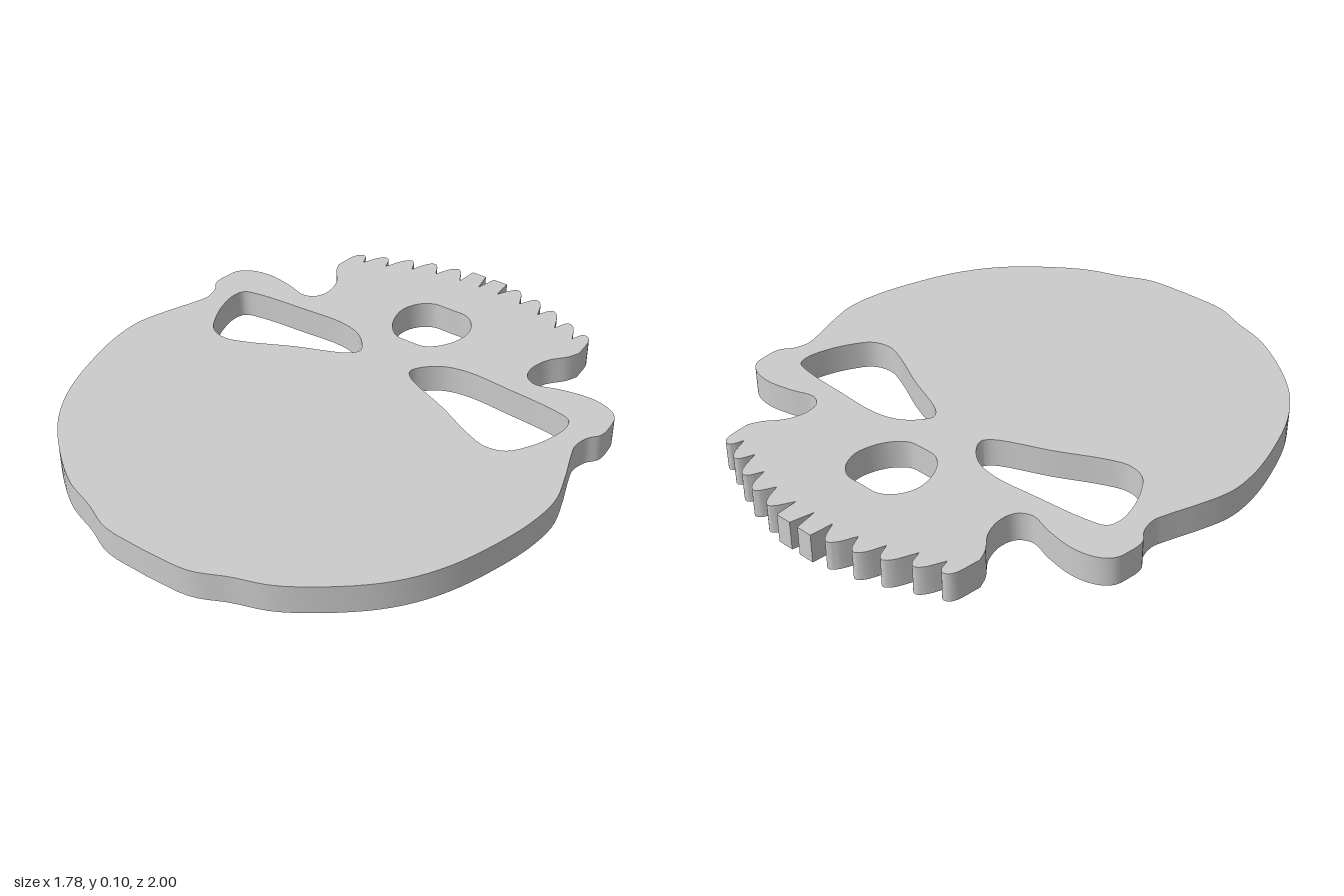
import * as THREE from 'three';
import { toCreasedNormals } from 'three/addons/utils/BufferGeometryUtils.js';

const THICKNESS = 0.105;

// Smooth run through [x, z] points, returned as 2D shape points (shape y = -z)
function smooth(points, steps = 4, closed = false) {
  const curve = new THREE.CatmullRomCurve3(
    points.map(([x, z]) => new THREE.Vector3(x, -z, 0)), closed, 'centripetal');
  const out = curve.getPoints(points.length * steps).map(p => new THREE.Vector2(p.x, p.y));
  if (closed) out.pop();
  return out;
}

const flip = points => points.map(p => new THREE.Vector2(-p.x, p.y)).reverse();

// Half of a symmetric outline, starting and ending on x = 0, completed by mirroring
const mirrored = half => [...half, ...flip(half).slice(1, -1)];

// Right half of the outline: rounded body, side lobe, neck and toothed crest
function halfOutline() {
  const body = smooth([
    [0, 1], [0.17, 0.99], [0.286, 0.94], [0.42, 0.89], [0.6, 0.76], [0.71, 0.645],
    [0.79, 0.51], [0.85, 0.34], [0.885, 0.185], [0.89, 0.05], [0.857, -0.07],
    [0.815, -0.185], [0.8, -0.24], [0.812, -0.3], [0.842, -0.345], [0.842, -0.41],
    [0.83, -0.46], [0.79, -0.495], [0.71, -0.513], [0.6, -0.497], [0.51, -0.472],
    [0.465, -0.497], [0.45, -0.555], [0.47, -0.63], [0.52, -0.695], [0.54, -0.74],
  ]);
  const tips = [[0.503, -0.857], [0.418, -0.894], [0.324, -0.935], [0.235, -0.967], [0.138, -0.988]];
  const valleys = [[0.54, -0.74], [0.472, -0.808], [0.382, -0.836], [0.285, -0.878], [0.19, -0.905], [0.085, -0.915]];
  const outline = body;
  tips.forEach(([x, z], i) => {
    const tooth = [valleys[i], [x + 0.022, z + 0.018], [x, z], [x - 0.016, z + 0.008], valleys[i + 1]];
    outline.push(...smooth(tooth, 3).slice(1));
  });
  // Square-topped middle tooth
  for (const [x, z] of [[0.078, -1], [0.018, -1], [0, -0.915]]) outline.push(new THREE.Vector2(x, -z));
  return outline;
}

export function createModel() {
  const group = new THREE.Group();
  const shape = new THREE.Shape(mirrored(halfOutline()));

  // Slanted side openings
  const slot = smooth([
    [0.11, -0.285], [0.135, -0.33], [0.19, -0.375], [0.28, -0.398], [0.455, -0.39],
    [0.64, -0.375], [0.71, -0.355], [0.725, -0.31], [0.715, -0.24], [0.68, -0.15],
    [0.63, -0.08], [0.56, -0.06], [0.48, -0.085], [0.32, -0.165], [0.155, -0.235], [0.12, -0.262],
  ], 4, true);

  // Rounded opening below the crest
  const centreHole = mirrored(smooth([
    [0, -0.715], [0.07, -0.712], [0.115, -0.68], [0.143, -0.62], [0.14, -0.56],
    [0.11, -0.49], [0.06, -0.445], [0, -0.44],
  ]));

  shape.holes.push(new THREE.Path(slot), new THREE.Path(flip(slot)), new THREE.Path(centreHole));

  const geometry = new THREE.ExtrudeGeometry(shape, { depth: THICKNESS, bevelEnabled: false });
  geometry.rotateX(-Math.PI / 2);
  const plate = new THREE.Mesh(
    toCreasedNormals(geometry, 0.6),
    new THREE.MeshStandardMaterial({ color: 0xcccccc }));
  plate.name = 'cutoutPlate';
  group.add(plate);
  return group;
}
